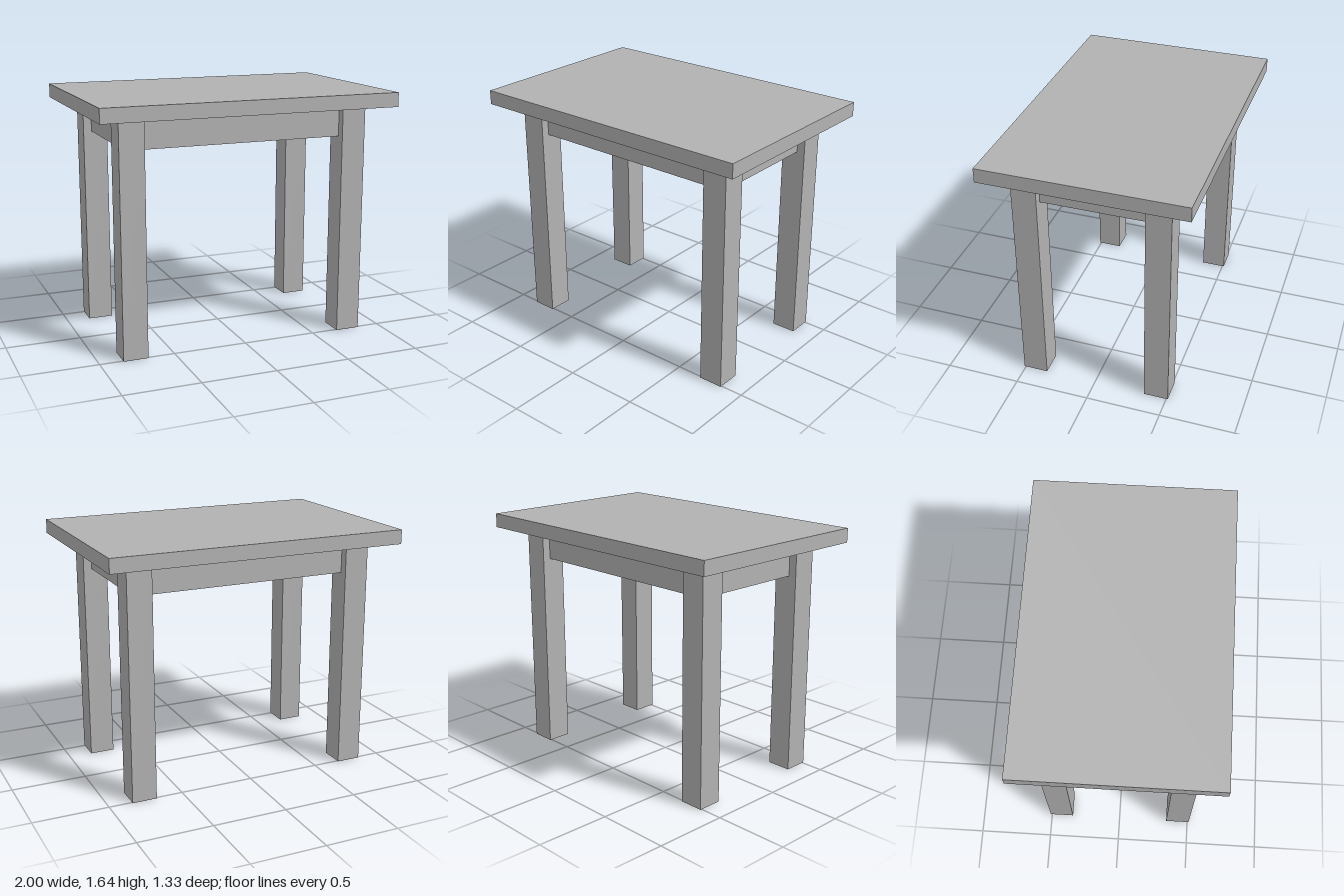
import * as THREE from 'three';

export function createModel() {
  const table = new THREE.Group();
  table.name = 'table';

  const grey = new THREE.MeshStandardMaterial({ color: 0xb2b2b2 });
  grey.name = 'plain grey';

  const topY = 1.55, topThickness = 0.095;
  const legX = 0.7625, legZ = 0.428, legWidth = 0.165;
  const apronHeight = 0.205, apronThickness = 0.055;

  function addBox(name, [w, h, d], [x, y, z]) {
    const mesh = new THREE.Mesh(new THREE.BoxGeometry(w, h, d), grey);
    mesh.name = name;
    mesh.position.set(x, y, z);
    table.add(mesh);
  }

  // Tabletop
  addBox('tabletop', [2, topThickness, 1.33], [0, topY + topThickness / 2, 0]);

  // Four square legs
  for (const [sx, side] of [[1, 'Left'], [-1, 'Right']]) {
    for (const [sz, end] of [[1, 'front'], [-1, 'back']]) {
      addBox(`${end}${side}Leg`, [legWidth, topY, legWidth], [sx * legX, topY / 2, sz * legZ]);
    }
  }

  // Aprons run between the legs, centred on their thickness
  const apronY = topY - apronHeight / 2;
  const longSpan = 2 * legX - legWidth, shortSpan = 2 * legZ - legWidth;
  for (const s of [1, -1]) {
    addBox(s > 0 ? 'frontApron' : 'backApron', [longSpan, apronHeight, apronThickness], [0, apronY, s * legZ]);
    addBox(s > 0 ? 'leftApron' : 'rightApron', [apronThickness, apronHeight, shortSpan], [s * legX, apronY, 0]);
  }

  return table;
}
